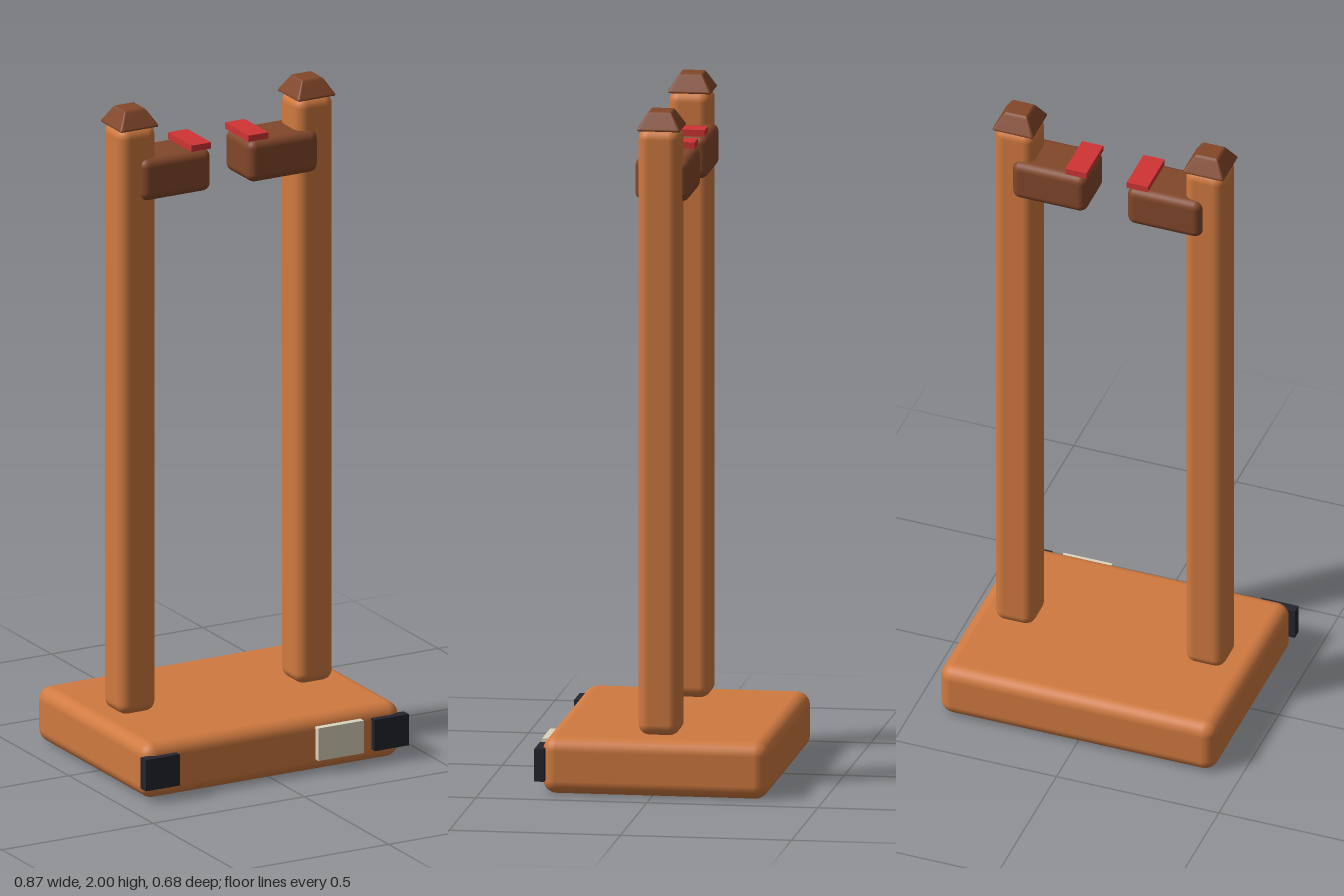
import * as THREE from 'three';
import { RoundedBoxGeometry } from 'three/addons/geometries/RoundedBoxGeometry.js';
import { mergeVertices } from 'three/addons/utils/BufferGeometryUtils.js';

const paint = (color) => new THREE.MeshStandardMaterial({ color });

// Box given by its [min, max] range on each axis; radius 0 keeps sharp edges
function block(name, x, y, z, radius, material) {
  const size = [x, y, z].map(([a, b]) => b - a);
  const geometry = radius
    ? new RoundedBoxGeometry(...size, 4, radius)
    : new THREE.BoxGeometry(...size);
  const mesh = new THREE.Mesh(geometry, material);
  mesh.position.set((x[0] + x[1]) / 2, (y[0] + y[1]) / 2, (z[0] + z[1]) / 2);
  mesh.name = name;
  return mesh;
}

// Soft box narrowed towards its top, like a small hipped roof
function taperedCap(width, height, topScale) {
  let geometry = new RoundedBoxGeometry(width, height, width, 4, 0.008);
  geometry.deleteAttribute('normal');
  geometry.deleteAttribute('uv');
  geometry = mergeVertices(geometry);
  const p = geometry.attributes.position;
  for (let i = 0; i < p.count; i++) {
    const k = THREE.MathUtils.lerp(1, topScale, p.getY(i) / height + 0.5);
    p.setX(i, p.getX(i) * k);
    p.setZ(i, p.getZ(i) * k);
  }
  geometry.computeVertexNormals();
  return geometry;
}

export function createModel() {
  const model = new THREE.Group();
  model.name = 'uprightStand';
  const orange = paint(0xd07a40);
  const brown = paint(0x82472a);
  const red = paint(0xd03434);
  const black = paint(0x24252d);
  const cream = paint(0xdcd5be);

  // Base slab with the front label plate
  model.add(block('base', [-0.425, 0.425], [0, 0.167], [-0.34, 0.32], 0.04, orange));
  model.add(block('labelPlate', [0.137, 0.287], [0.04, 0.139], [0.318, 0.339], 0, cream));

  // Mirrored uprights, caps, arms, pads and corner blocks
  for (const [side, s] of [['left', 1], ['right', -1]]) {
    const span = (a, b) => (s > 0 ? [a, b] : [-b, -a]);
    model.add(block(side + 'Post', span(0.232, 0.354), [0.167, 1.952], [-0.071, 0.051], 0.032, orange));

    const cap = new THREE.Mesh(taperedCap(0.132, 0.054, 0.5), brown);
    cap.name = side + 'PostCap';
    cap.position.set(s * 0.293, 1.973, -0.011);
    model.add(cap);

    model.add(block(side + 'Arm', span(0.062, 0.292), [1.728, 1.855], [-0.091, 0.069], 0.025, brown));
    model.add(block(side + 'ArmPad', span(0.062, 0.127), [1.855, 1.874], [-0.082, 0.059], 0, red));
    model.add(block(side + 'CornerBlock', span(0.322, 0.435), [0.04, 0.135], [0.31, 0.34], 0, black));
  }
  return model;
}
